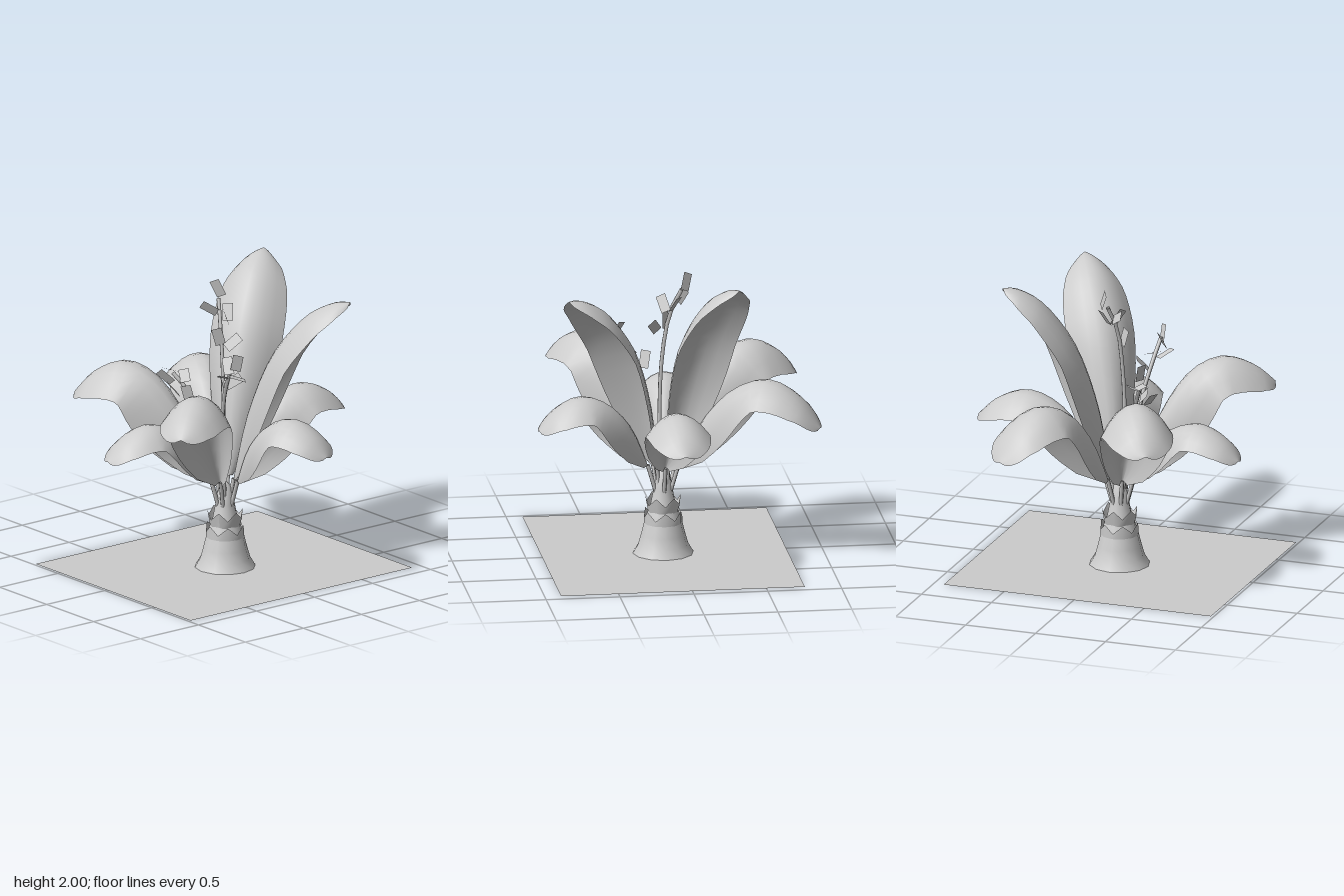
import * as THREE from 'three';

const CX = 0.07, CZ = 0.02; // plant axis
const mat = new THREE.MeshStandardMaterial({ color: 0xcccccc, side: THREE.DoubleSide });

function add(parent, name, geometry) {
  const mesh = new THREE.Mesh(geometry, mat);
  mesh.name = name;
  parent.add(mesh);
  return mesh;
}

function tube(points, radius, sides = 6) {
  const curve = new THREE.CatmullRomCurve3(points.map(p => new THREE.Vector3(...p)));
  return new THREE.TubeGeometry(curve, 10, radius, sides);
}

// Arched blade: follows a spine of [radius, height] points, edges folding down,
// more strongly towards the base; the tip is round and blunt
function bladeGeometry(spine, halfWidth, fold, baseFold) {
  const curve = new THREE.SplineCurve(spine.map(p => new THREE.Vector2(...p)));
  const geo = new THREE.PlaneGeometry(1, 1, 18, 8);
  const pos = geo.attributes.position;
  for (let i = 0; i < pos.count; i++) {
    const t = 1 - Math.pow(0.5 - pos.getX(i), 1.8);
    const v = pos.getY(i) * 2;
    const w = halfWidth * (t < 0.6
      ? 0.1 + 0.9 * Math.pow(Math.sin(t / 0.6 * Math.PI / 2), 0.75)
      : Math.sqrt(Math.max(0, 1 - ((t - 0.6) / 0.4) ** 2.4)));
    const p = curve.getPointAt(t), d = curve.getTangentAt(t);
    const drop = fold * w * v * v * (1 + baseFold * Math.max(0, 1 - t / 0.6));
    pos.setXYZ(i, p.x + Math.max(0, d.y) * drop, p.y - d.x * drop, -w * v);
  }
  geo.computeVertexNormals();
  return geo;
}

// Arching leaf that rises to a peak and nods at the tip
const arch = (reach, peak, tip) => [
  [0.11, 0.62],
  [reach * 0.25, 0.62 + (peak - 0.62) * 0.5],
  [reach * 0.44, 0.62 + (peak - 0.62) * 0.86],
  [reach * 0.66, peak],
  [reach * 0.86, peak - (peak - tip) * 0.35],
  [reach, tip],
];

// Upright leaf that leans outward
const upright = (reach, top) => [
  [0.06, 0.62],
  [reach * 0.18, top * 0.56],
  [reach * 0.37, top * 0.78],
  [reach * 0.63, top * 0.93],
  [reach * 0.85, top * 0.99],
  [reach, top],
];

export function createModel() {
  const model = new THREE.Group();
  model.name = 'plant';

  // Ground sheet
  const ground = add(model, 'groundSheet', new THREE.PlaneGeometry(1.65, 1.91).rotateX(-Math.PI / 2));
  ground.position.set(0.065, 0, 0.025);

  // Flared trunk
  const trunk = add(model, 'trunk', new THREE.LatheGeometry(
    [[0.205, 0], [0.17, 0.06], [0.15, 0.13], [0.13, 0.21], [0.108, 0.28], [0.085, 0.34], [0.065, 0.44], [0.045, 0.56], [0, 0.6]]
      .map(p => new THREE.Vector2(...p)), 12));
  trunk.position.set(CX, 0, CZ);

  // Two flaring sheath rings with six points each: bottom, top, radii
  [[0.19, 0.27, 0.13, 0.13], [0.27, 0.37, 0.098, 0.12]].forEach(([y0, y1, r0, r1], k) => {
    const geo = new THREE.CylinderGeometry(r1, r0, y1 - y0, 12, 1, true);
    const pos = geo.attributes.position;
    for (let i = 0; i < pos.count; i++) {
      const step = Math.round(Math.atan2(pos.getX(i), pos.getZ(i)) / (Math.PI / 6));
      if (pos.getY(i) > 0) pos.setY(i, pos.getY(i) + (step % 2 === 0 ? 0.03 : -0.025));
    }
    geo.computeVertexNormals();
    const ring = add(model, 'sheathRing', geo);
    ring.position.set(CX, (y0 + y1) / 2, CZ);
    ring.rotation.y = k * Math.PI / 6;
  });

  // Leaves: direction x, direction z, half width, fold, extra fold at base, spine
  const leaves = [
    ['backLeaf', -0.02, -1.0, 0.218, 0.7, 1.5, arch(1.0, 1.15, 0.95)],
    ['backLeftLeaf', 0.68, -0.49, 0.235, 0.65, 0.5, upright(0.87, 1.92)],
    ['backRightLeaf', -0.42, -0.67, 0.255, 0.65, 0.5, upright(0.8, 2.0)],
    ['leftLeaf', 0.87, -0.18, 0.205, 0.7, 1.5, arch(0.88, 1.14, 0.93)],
    ['frontLeftLeaf', 0.62, 0.88, 0.235, 0.85, 1.3, arch(1.08, 1.4, 1.2)],
    ['frontLeaf', -0.14, 0.91, 0.19, 0.7, 1.5, arch(0.91, 1.08, 0.87)],
    ['frontRightLeaf', -0.95, 0.54, 0.245, 0.9, 1.3, arch(1.08, 1.36, 1.11)],
    ['sideRightLeaf', -1.0, -0.49, 0.23, 0.7, 1.5, arch(1.11, 1.27, 0.97)],
  ];
  for (const [name, dx, dz, width, fold, baseFold, spine] of leaves) {
    const leaf = new THREE.Group();
    leaf.name = name;
    leaf.position.set(CX, 0, CZ);
    leaf.rotation.y = -Math.atan2(dz, dx);
    add(leaf, 'blade', bladeGeometry(spine, width, fold, baseFold));
    const [r, y] = spine[0];
    add(leaf, 'leafStalk', tube([[0.045, 0.4, 0], [r * 0.75, 0.53, 0], [r, y, 0]], 0.014));
    model.add(leaf);
  }

  // Flower stalks, each with flat petals: x, y, z, then turns about x, y, z
  const stalks = [
    {
      path: [[0.08, 0.5, 0.04], [0.09, 1.0, 0.05], [0.07, 1.4, 0.04], [0.02, 1.68, 0.02], [-0.05, 1.84, -0.02]],
      petals: [
        [-0.08, 1.9, -0.04, 0.2, 0.6, 0.3], [-0.06, 1.78, 0.05, 0.5, 0.6, 0.7], [0.0, 1.75, -0.06, -0.8, 0.7, 0.6],
        [0.07, 1.74, 0.01, 0.4, -0.5, -0.3], [0.05, 1.61, 0.06, 0.2, 0.9, 0.1], [0.13, 1.58, 0.0, -0.5, 0.5, -0.5],
      ],
    },
    {
      path: [[0.1, 0.5, 0.05], [0.14, 0.85, 0.09], [0.2, 1.18, 0.14], [0.3, 1.4, 0.18], [0.39, 1.52, 0.2]],
      petals: [
        [0.42, 1.54, 0.2, 0.3, 0.7, -0.4], [0.35, 1.51, 0.22, -0.6, 0.6, 0.6], [0.33, 1.43, 0.25, 1.2, 0.2, -0.8],
        [0.18, 1.32, 0.13, 0.3, -0.5, 0.2], [0.27, 1.36, 0.11, -0.7, 0.8, -0.5], [0.36, 1.41, 0.15, 1.3, -0.2, 0.5],
      ],
    },
    {
      path: [[0.05, 0.5, 0.05], [0.01, 0.85, 0.1], [-0.05, 1.08, 0.16], [-0.11, 1.24, 0.21], [-0.19, 1.34, 0.26]],
      petals: [
        [-0.2, 1.36, 0.27, 1.2, 0.1, 0.9], [-0.22, 1.31, 0.3, 0.5, 0.5, 0.5], [-0.14, 1.32, 0.2, -1.1, 0.3, 0.9],
        [-0.08, 1.21, 0.22, 0.2, 0.7, 0.1], [-0.12, 1.25, 0.31, 0.8, -0.4, 0.4],
      ],
    },
  ];
  for (const { path, petals } of stalks) {
    const flower = new THREE.Group();
    flower.name = 'flowerSpike';
    add(flower, 'flowerStalk', tube(path, 0.014));
    for (const [x, y, z, rx, ry, rz] of petals) {
      const petal = add(flower, 'petal', new THREE.PlaneGeometry(0.07, 0.12));
      petal.position.set(x, y, z);
      petal.rotation.set(rx, ry, rz);
    }
    model.add(flower);
  }

  return model;
}
